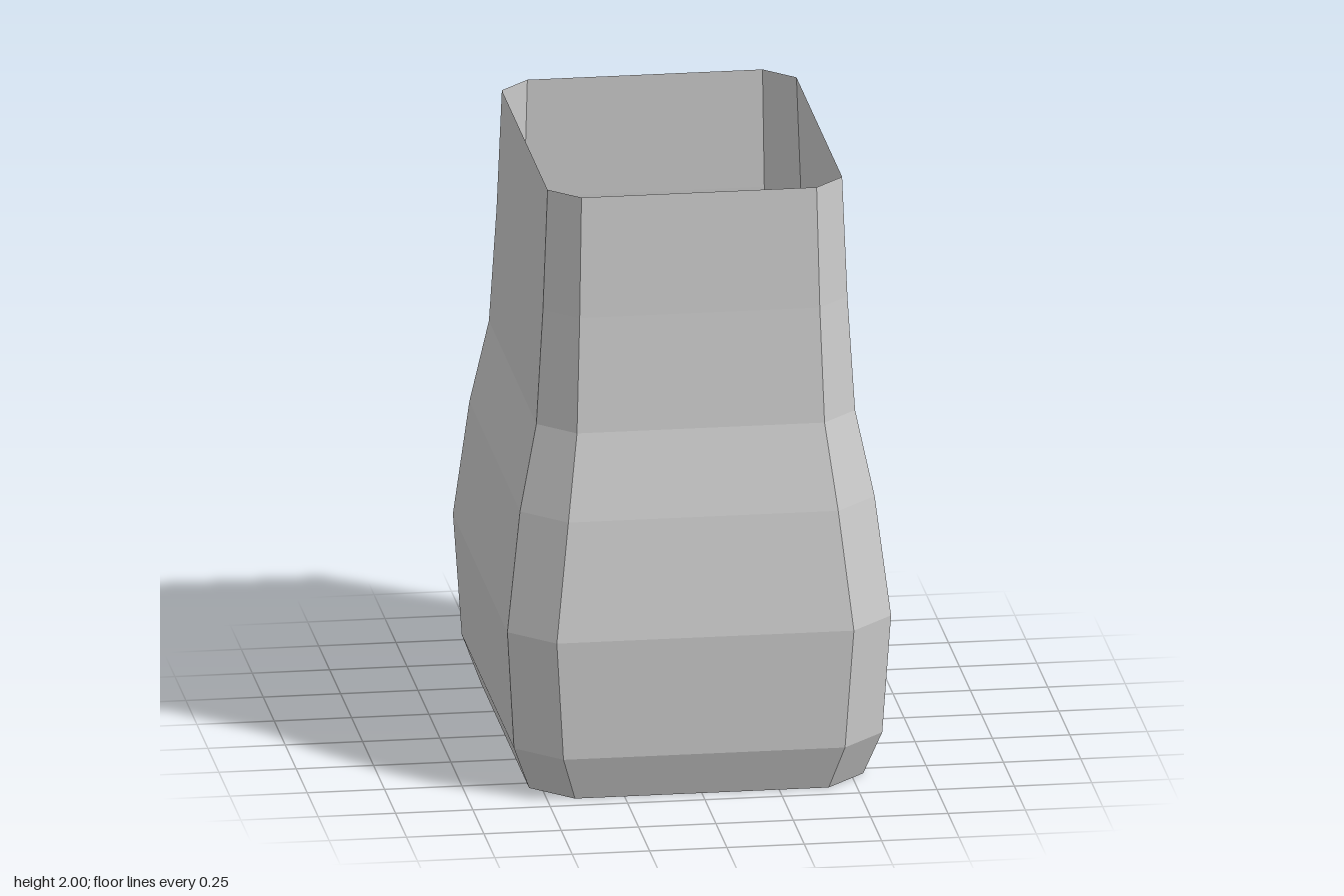
import * as THREE from 'three';

// Height, half width, half depth and corner chamfer of each ring
const RINGS = [
  [0, 0.54, 0.68, 0.13],
  [0.15, 0.595, 0.735, 0.14],
  [0.55, 0.62, 0.76, 0.14],
  [0.94, 0.573, 0.713, 0.137],
  [1.22, 0.515, 0.655, 0.115],
  [1.6, 0.492, 0.632, 0.104],
  [2, 0.476, 0.616, 0.096],
];

// Eight corners of a chamfered rectangle, counter-clockwise seen from above
function ring([y, w, d, c]) {
  return [
    [w, d - c], [w, c - d], [w - c, -d], [c - w, -d],
    [-w, c - d], [-w, d - c], [c - w, d], [w - c, d],
  ].map(([x, z]) => new THREE.Vector3(x, y, z));
}

function geometryFrom(triangles) {
  const geometry = new THREE.BufferGeometry().setFromPoints(triangles);
  geometry.computeVertexNormals();
  return geometry;
}

export function createModel() {
  const model = new THREE.Group();
  model.name = 'vessel';

  const grey = new THREE.MeshStandardMaterial({
    color: 0xcccccc, flatShading: true, side: THREE.DoubleSide,
  });
  grey.name = 'light grey';

  const rings = RINGS.map(ring);

  // Open-topped wall lofted through the rings
  const wall = [];
  for (let i = 0; i < rings.length - 1; i++) {
    for (let j = 0; j < 8; j++) {
      const k = (j + 1) % 8;
      const [a, b, c, d] = [rings[i][j], rings[i][k], rings[i + 1][k], rings[i + 1][j]];
      wall.push(a, b, c, a, c, d);
    }
  }
  const wallMesh = new THREE.Mesh(geometryFrom(wall), grey);
  wallMesh.name = 'wall';

  // Flat base, facing down
  const base = [];
  for (let j = 1; j < 7; j++) base.push(rings[0][0], rings[0][j + 1], rings[0][j]);
  const baseMesh = new THREE.Mesh(geometryFrom(base), grey);
  baseMesh.name = 'base';

  model.add(wallMesh, baseMesh);
  return model;
}
